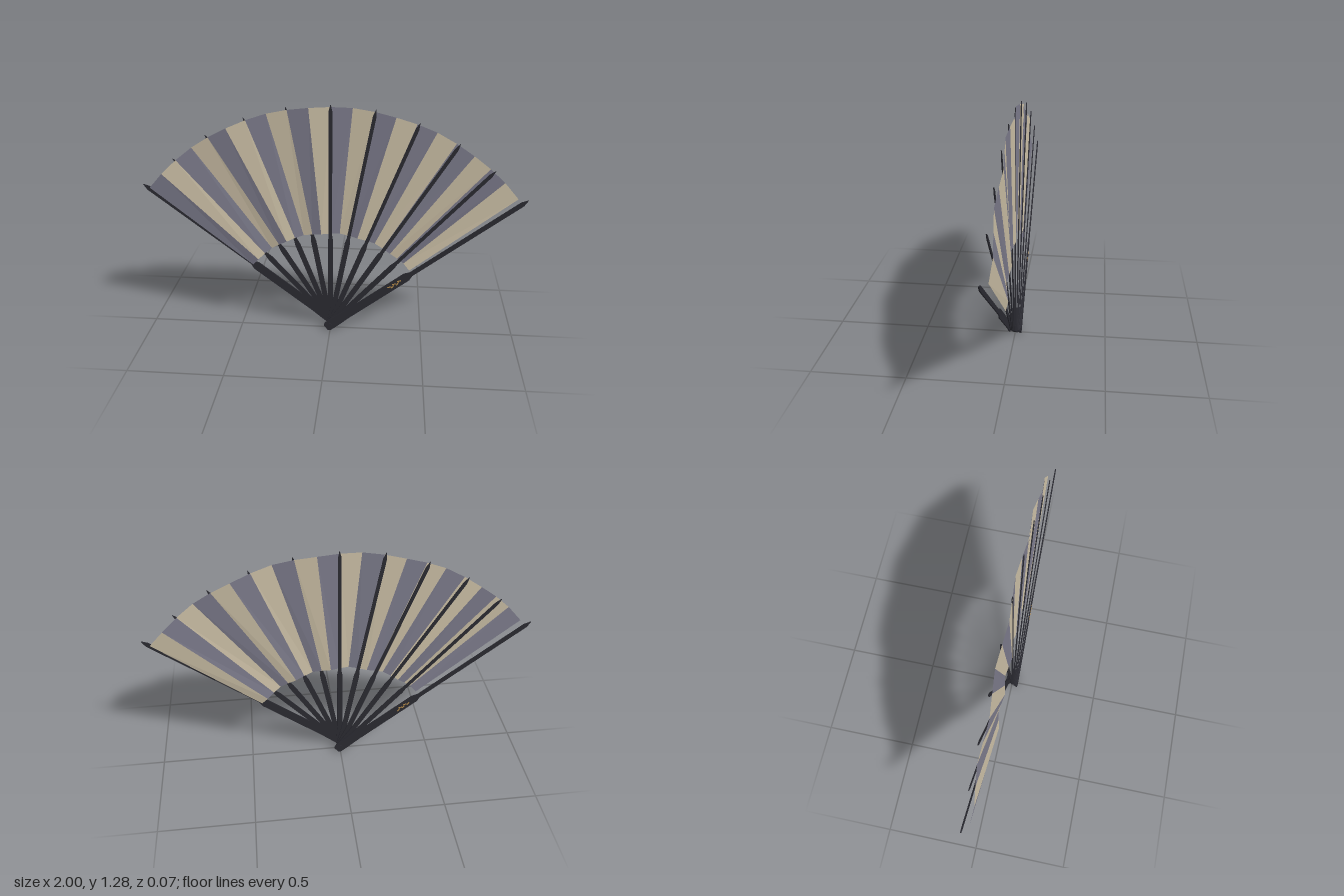
import * as THREE from 'three';

const PIVOT_Y = 0.03, STEP = THREE.MathUtils.degToRad(10.4), LEAF_HALF = THREE.MathUtils.degToRad(51);
const LEAF_INNER = 0.545, LEAF_OUTER = 1.23, PLEATS = 20, LAYER = 0.0064;

function material(name, color) {
  const m = new THREE.MeshStandardMaterial({ color });
  m.name = name;
  return m;
}

// Flat stick along +y: wide handle, shoulder, slim upper part and a pointed tip
function stick(base, handle, upper, length, shoulder, thick) {
  const half = [
    [base * 0.6, -0.03], [base, -0.018], [base, 0.02], [handle, 0.12], [handle, shoulder],
    [upper, shoulder + 0.03], [upper, length - 0.035],
  ];
  const outline = [...half, [0, length], ...half.slice().reverse().map(([x, y]) => [-x, y])];
  const shape = new THREE.Shape(outline.map(([x, y]) => new THREE.Vector2(x, y)));
  return new THREE.ExtrudeGeometry(shape, { depth: thick, bevelEnabled: false }).translate(0, 0, -thick / 2);
}

// Pleated panels of one colour: every second panel, starting at the given one
function pleats(first) {
  const point = (k, r) => {
    const a = -LEAF_HALF + (2 * LEAF_HALF * k) / PLEATS;
    const z = k % 2 === 0 ? 0 : (k % 4 === 1 ? 0.009 : -0.009);
    return [Math.sin(a) * r, Math.cos(a) * r, z];
  };
  const pos = [];
  for (let k = first; k < PLEATS; k += 2) {
    const a = point(k, LEAF_INNER), b = point(k + 1, LEAF_INNER);
    const c = point(k + 1, LEAF_OUTER), d = point(k, LEAF_OUTER);
    pos.push(...a, ...b, ...c, ...a, ...c, ...d);
  }
  const g = new THREE.BufferGeometry();
  g.setAttribute('position', new THREE.Float32BufferAttribute(pos, 3));
  g.computeVertexNormals();
  return g;
}

export function createModel() {
  const fan = new THREE.Group();
  fan.name = 'foldingFan';
  const dark = material('dark lacquer', 0x2a2a31);
  const gold = material('gold', 0xb98d4a);
  const tan = material('tan leaf', 0xc9bda4);
  const grey = material('grey leaf', 0x7b7a8a);
  tan.side = grey.side = THREE.DoubleSide;

  const body = new THREE.Group();
  body.name = 'fanBody';
  body.position.y = PIVOT_Y;
  fan.add(body);
  const add = (parent, name, geometry, mat) => {
    const mesh = new THREE.Mesh(geometry, mat);
    mesh.name = name;
    parent.add(mesh);
    return mesh;
  };

  // Leaf
  add(body, 'greyPleats', pleats(0), grey);
  add(body, 'tanPleats', pleats(1), tan);

  // Inner ribs, stepping from behind the leaf to in front of it
  const ribGeometry = stick(0.02, 0.014, 0.009, 1.245, 0.5, 0.005);
  for (let i = -4; i <= 4; i++) {
    const rib = add(body, 'rib', ribGeometry, dark);
    rib.rotation.z = -i * STEP;
    rib.position.z = i * LAYER;
  }

  // Outer guards with a small gold ornament on the outward face
  const guardGeometry = stick(0.028, 0.024, 0.012, 1.27, 0.52, 0.006);
  for (const side of [-1, 1]) {
    const guard = new THREE.Group();
    guard.name = side > 0 ? 'leftGuard' : 'rightGuard';
    guard.rotation.z = -side * 5 * STEP;
    guard.position.z = side * 5 * LAYER;
    add(guard, 'guardStick', guardGeometry, dark);
    for (let k = 0; k < 5; k++) {
      const bar = add(guard, 'goldOrnament', new THREE.BoxGeometry(0.006, 0.022, 0.001), gold);
      bar.position.set(k % 2 ? 0.004 : -0.004, 0.41 + k * 0.016, side * 0.0035);
      bar.rotation.z = k % 2 ? 0.35 : -0.35;
    }
    body.add(guard);
  }

  // Pivot pin
  add(body, 'pivotPin', new THREE.CylinderGeometry(0.012, 0.012, 0.072, 16).rotateX(Math.PI / 2), dark);
  return fan;
}
